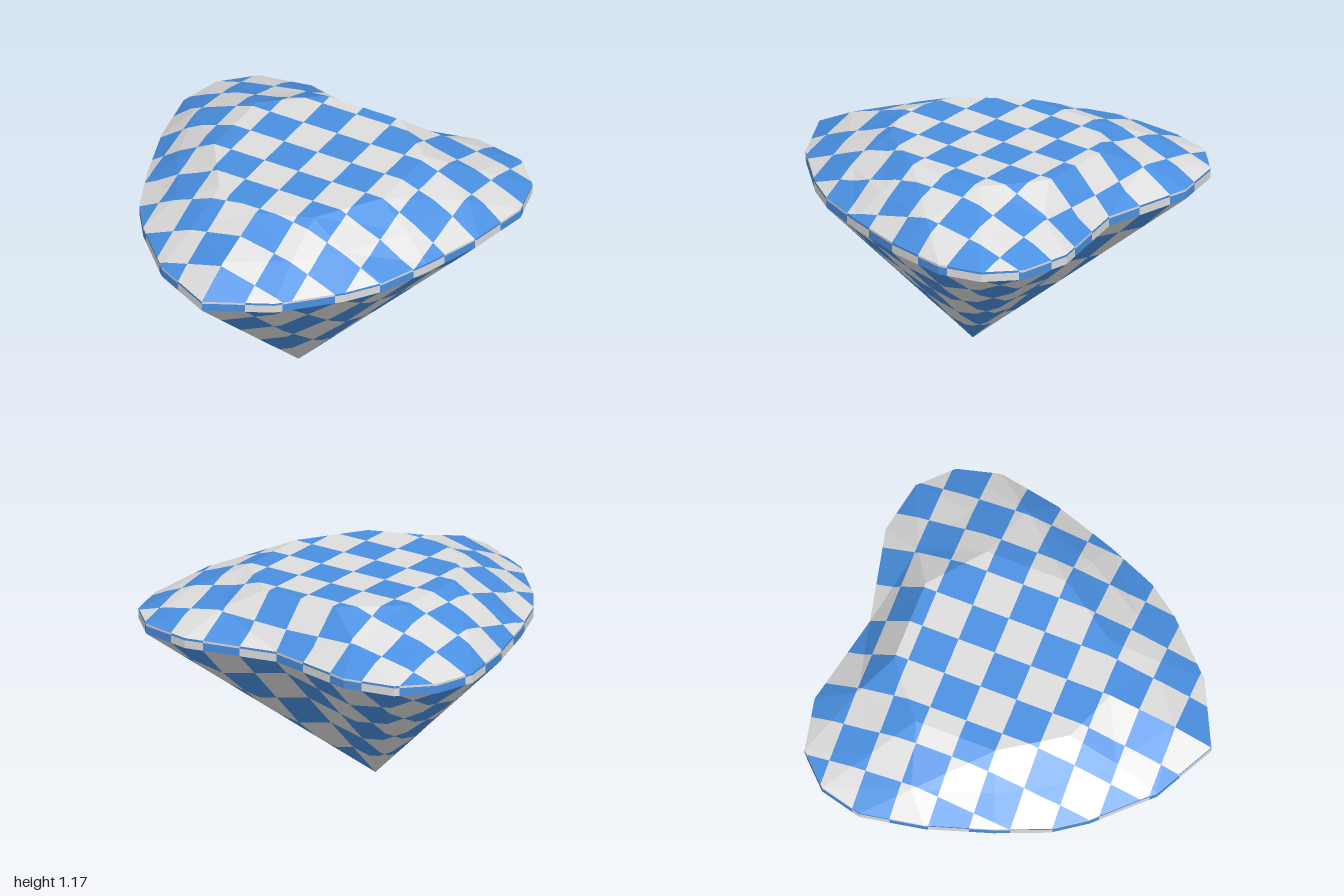
import * as THREE from 'three';

const CELL = 0.2;      // checker size
const V0 = 0.933;      // height where the checker row on the girdle changes
const TOP = 1.17, MID = 1.06, RIM = 0.945, RIM_LOW = 0.89;

// Right halves of the heart rings, [x, z] from the back cleft to the front point
const GIRDLE = [[0, -0.89], [0.5, -1], [0.78, -0.945], [0.94, -0.785], [1, -0.555], [0.94, -0.22],
  [0.83, 0.12], [0.72, 0.39], [0.6, 0.56], [0.335, 0.83], [0, 1]];
const CROWN = [[0, -0.78], [0.42, -0.79], [0.42, -0.79], [0.72, -0.61], [0.82, -0.34], [0.82, -0.34],
  [0.68, 0.07], [0.5, 0.39], [0.5, 0.39], [0.3, 0.59], [0, 0.78]];
const TABLE = [[0, -0.67], [0.22, -0.67], [0.22, -0.67], [0.5, -0.44], [0.5, -0.44], [0.5, 0],
  [0.5, 0], [0.28, 0.33], [0.28, 0.33], [0.28, 0.33], [0, 0.44]];

// Full closed ring at height y, mirrored across x
function ring(half, y) {
  const right = half.map(([x, z]) => new THREE.Vector3(x, y, z));
  const left = half.slice(1, -1).reverse().map(([x, z]) => new THREE.Vector3(-x, y, z));
  return [...right, ...left];
}

// Triangles between two rings; the diagonals mirror on the left half
function band(a, b) {
  const tris = [], n = a.length;
  for (let i = 0; i < n; i++) {
    const j = (i + 1) % n;
    if (i < n / 2) tris.push([a[i], a[j], b[i]], [a[j], b[j], b[i]]);
    else tris.push([a[i], a[j], b[j]], [a[i], b[j], b[i]]);
  }
  return tris;
}

function fan(a, tip) {
  return a.map((p, i) => [p, a[(i + 1) % a.length], tip]);
}

// Keep the part of a polygon where sign * (f(p) - limit) >= 0
function clip(poly, f, limit, sign) {
  const out = [];
  poly.forEach((p, i) => {
    const q = poly[(i + 1) % poly.length];
    const dp = sign * (f(p) - limit), dq = sign * (f(q) - limit);
    if (dp >= 0) out.push(p);
    if ((dp > 0 && dq < 0) || (dp < 0 && dq > 0)) out.push(p.clone().lerp(q, dp / (dp - dq)));
  });
  return out;
}

// Checker axes for a facet: projected along its main direction
function axes(n, upright) {
  if (!upright) return [p => p.x, n.y > 0 ? p => -p.z : p => p.z];
  const v = p => p.y - V0;
  if (Math.abs(n.x) > Math.abs(n.z)) return [n.x > 0 ? p => -p.z : p => p.z, v];
  return [n.z > 0 ? p => p.x : p => -p.x, v];
}

// Cut every facet along the checker lines and sort the pieces by colour
function checkered(name, tris, materials, upright = false) {
  const pos = [[], []], centre = new THREE.Vector3(0, 0.8, 0);
  for (const t of tris) {
    let [a, b, c] = t;
    const n = b.clone().sub(a).cross(c.clone().sub(a));
    if (n.length() < 1e-6) continue;
    const mid = a.clone().add(b).add(c).divideScalar(3).sub(centre);
    if (n.dot(mid) < 0) { [b, c] = [c, b]; n.negate(); }
    const [u, v] = axes(n, upright);
    const range = f => {
      const s = [f(a), f(b), f(c)].map(k => k / CELL);
      return [Math.floor(Math.min(...s) + 1e-6), Math.ceil(Math.max(...s) - 1e-6)];
    };
    const [u0, u1] = range(u), [v0, v1] = range(v);
    for (let i = u0; i < u1; i++) {
      let strip = clip([a, b, c], u, i * CELL, 1);
      strip = clip(strip, u, (i + 1) * CELL, -1);
      for (let j = v0; j < v1; j++) {
        const cell = clip(clip(strip, v, j * CELL, 1), v, (j + 1) * CELL, -1);
        const list = pos[Math.abs(i + j) % 2];
        for (let k = 1; k + 1 < cell.length; k++) {
          for (const p of [cell[0], cell[k], cell[k + 1]]) list.push(p.x, p.y, p.z);
        }
      }
    }
  }
  const geo = new THREE.BufferGeometry();
  geo.setAttribute('position', new THREE.Float32BufferAttribute(pos[0].concat(pos[1]), 3));
  geo.addGroup(0, pos[0].length / 3, 0);
  geo.addGroup(pos[0].length / 3, pos[1].length / 3, 1);
  geo.computeVertexNormals();
  const mesh = new THREE.Mesh(geo, materials);
  mesh.name = name;
  return mesh;
}

export function createModel() {
  const pale = new THREE.MeshStandardMaterial({ color: 0xdddddd });
  pale.name = 'paleGrey';
  const blue = new THREE.MeshStandardMaterial({ color: 0x4a90e2 });
  blue.name = 'blue';
  const materials = [pale, blue];

  const table = ring(TABLE, TOP), crown = ring(CROWN, MID);
  const rim = ring(GIRDLE, RIM), rimLow = ring(GIRDLE, RIM_LOW);

  const gem = new THREE.Group();
  gem.name = 'heartGem';
  gem.add(
    checkered('table', fan(table, new THREE.Vector3(0, TOP, -0.1)), materials),
    checkered('crown', [...band(table, crown), ...band(crown, rim)], materials),
    checkered('girdle', band(rim, rimLow), materials, true),
    checkered('pavilion', fan(rimLow, new THREE.Vector3(0, 0, 0)), materials),
  );
  return gem;
}
